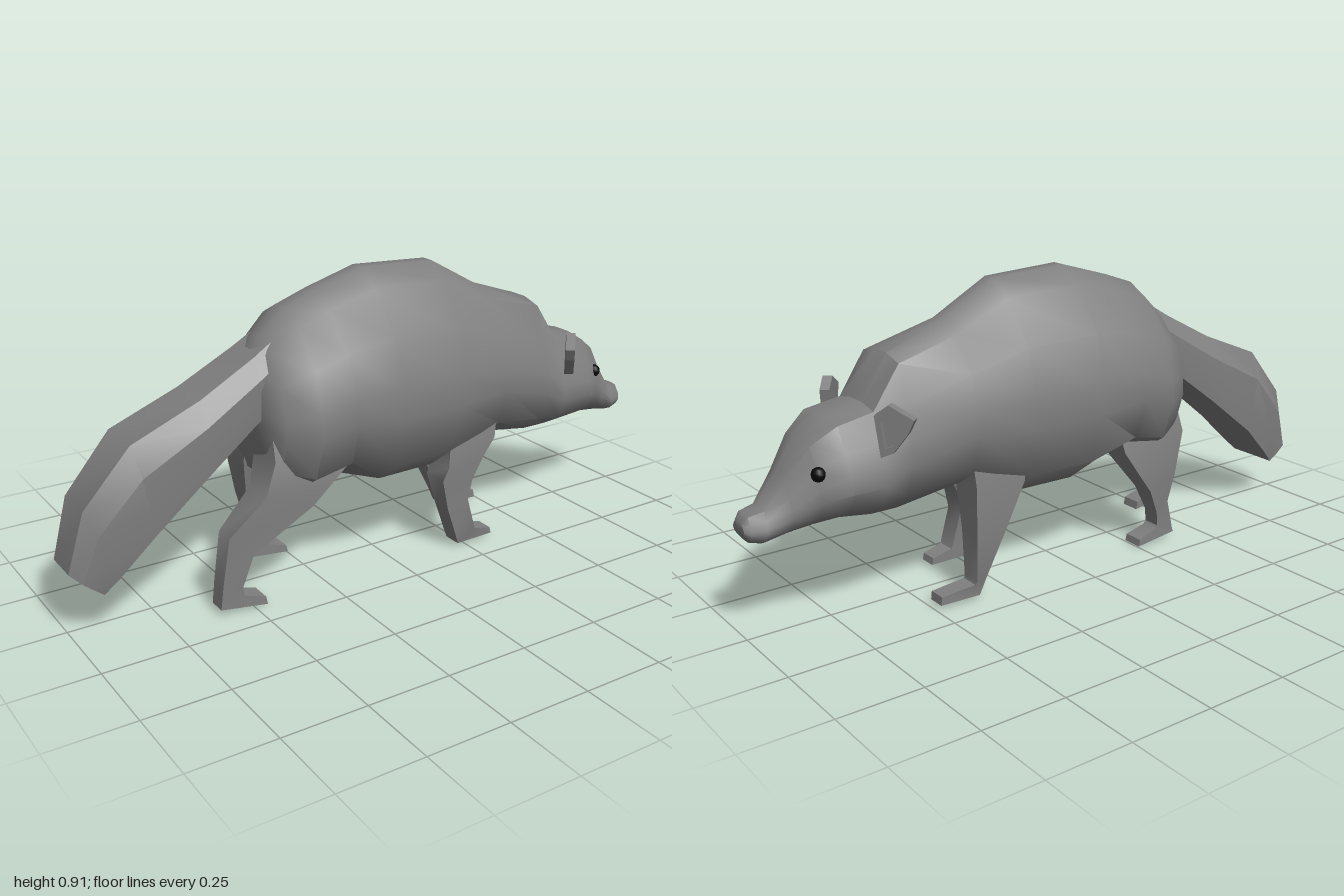
import * as THREE from 'three';
import { toCreasedNormals } from 'three/addons/utils/BufferGeometryUtils.js';

const fur = new THREE.MeshStandardMaterial({ color: 0x808080 });
const black = new THREE.MeshStandardMaterial({ color: 0x050505 });

// Skin a closed surface over a list of rings of [x, y, z] points
function loft(rings, crease) {
  const n = rings[0].length, pos = [];
  const tri = (a, b, c) => pos.push(...a, ...b, ...c);
  const centre = r => [0, 1, 2].map(k => r.reduce((s, p) => s + p[k], 0) / n);
  const first = rings[0], last = rings[rings.length - 1];
  const c0 = centre(first), c1 = centre(last);
  for (let j = 0; j < n; j++) {
    const k = (j + 1) % n;
    for (let i = 0; i < rings.length - 1; i++) {
      const r = rings[i], s = rings[i + 1];
      tri(r[j], r[k], s[k]);
      tri(r[j], s[k], s[j]);
    }
    tri(c0, first[k], first[j]);
    tri(c1, last[j], last[k]);
  }
  const g = new THREE.BufferGeometry();
  g.setAttribute('position', new THREE.Float32BufferAttribute(pos, 3));
  return toCreasedNormals(g, crease);
}

// Symmetric ring between a bottom and a top point; half = [width, height] fractions
function ring([xb, yb, xt, yt, w], half) {
  const point = ([f, h], s) => [xb + (xt - xb) * h, yb + (yt - yb) * h, s * f * w];
  return [...half.map(p => point(p, 1)), ...[...half].reverse().map(p => point(p, -1))];
}

function add(parent, name, geometry, material = fur) {
  const m = new THREE.Mesh(geometry, material);
  m.name = name;
  parent.add(m);
  return m;
}

// Leg: rectangular sections [back x, back y, front x, front y, inner z, outer z]
function addLeg(parent, name, side, sections) {
  const rings = sections.map(([ax, ay, bx, by, zi, zo]) => {
    const lo = Math.min(zi * side, zo * side), hi = Math.max(zi * side, zo * side);
    return [[bx, by, lo], [bx, by, hi], [ax, ay, hi], [ax, ay, lo]];
  });
  add(parent, name, loft(rings, 0.75));
}

// Ear: flat plate with a raised rim, turned outward
function addEar(parent, side) {
  const outline = [[-0.035, -0.07], [0.0, -0.055], [0.042, 0.0], [0.06, 0.038], [-0.008, 0.075], [-0.05, 0.045]];
  const pts = k => outline.map(([u, v]) => new THREE.Vector2(-side * u * k, v * k));
  const ear = new THREE.Group();
  ear.name = side > 0 ? 'leftEar' : 'rightEar';
  add(ear, 'earBack', new THREE.ExtrudeGeometry(new THREE.Shape(pts(1)), { depth: 0.012, bevelEnabled: false }));
  const rim = new THREE.Shape(pts(1));
  rim.holes.push(new THREE.Path(pts(0.65)));
  add(ear, 'earRim', new THREE.ExtrudeGeometry(rim, { depth: 0.018, bevelEnabled: false })).position.z = 0.01;
  ear.position.set(0.618, 0.562, side * 0.172);
  ear.rotation.y = Math.PI / 2 - side * 0.72;
  parent.add(ear);
}

export function createModel() {
  const model = new THREE.Group();
  model.name = 'animal';

  // Body, neck and head: [bottom x, bottom y, top x, top y, half width]
  const trunkHalf = [[0.1, 1], [0.42, 0.925], [0.83, 0.72], [0.98, 0.5], [1, 0.36], [0.82, 0.12], [0.38, 0]];
  const headHalf = [[0.2, 1], [0.6, 0.96], [0.83, 0.7], [0.97, 0.5], [1, 0.34], [0.78, 0.12], [0.35, 0]];
  const trunk = [
    [-0.43, 0.42, -0.43, 0.70, 0.125],
    [-0.40, 0.34, -0.39, 0.75, 0.185],
    [-0.31, 0.30, -0.31, 0.825, 0.235],
    [-0.19, 0.325, -0.21, 0.86, 0.242],
    [-0.03, 0.265, -0.05, 0.907, 0.23],
    [0.17, 0.265, 0.20, 0.895, 0.213],
    [0.37, 0.33, 0.37, 0.80, 0.195],
  ];
  const head = [
    [0.56, 0.295, 0.56, 0.735, 0.16],
    [0.64, 0.295, 0.64, 0.61, 0.158],
    [0.74, 0.31, 0.75, 0.59, 0.163],
    [0.81, 0.302, 0.82, 0.54, 0.12],
    [0.88, 0.29, 0.88, 0.45, 0.085],
    [0.95, 0.275, 0.94, 0.372, 0.06],
    [0.985, 0.285, 0.985, 0.362, 0.05],
    [1.0, 0.305, 1.0, 0.342, 0.035],
  ];
  add(model, 'bodyAndHead', loft([
    ...trunk.map(s => ring(s, trunkHalf)), ...head.map(s => ring(s, headHalf)),
  ], 0.75));

  // Tail, from the tip to the rump
  const tailHalf = [[0.62, 1], [1, 0.68], [1, 0.3], [0.95, 0]];
  add(model, 'tail', loft([
    [-0.915, 0.13, -1.0, 0.20, 0.09],
    [-0.87, 0.175, -0.95, 0.375, 0.105],
    [-0.77, 0.275, -0.81, 0.535, 0.12],
    [-0.60, 0.41, -0.60, 0.62, 0.115],
    [-0.44, 0.53, -0.43, 0.71, 0.105],
    [-0.32, 0.60, -0.30, 0.79, 0.09],
  ].map(s => ring(s, tailHalf)), 0.5));

  // Legs, each in its own step of the walk, with the thighs sunk into the body
  addLeg(model, 'leftFrontLeg', 1, [
    [0.19, 0.46, 0.37, 0.46, 0.05, 0.15],
    [0.175, 0.34, 0.345, 0.345, 0.06, 0.17],
    [0.17, 0.28, 0.30, 0.29, 0.075, 0.172],
    [0.15, 0.24, 0.262, 0.22, 0.085, 0.17],
    [0.173, 0.14, 0.25, 0.155, 0.10, 0.167],
    [0.205, 0.05, 0.28, 0.055, 0.10, 0.165],
    [0.22, 0.01, 0.285, 0.045, 0.10, 0.16],
    [0.355, 0.01, 0.35, 0.03, 0.10, 0.155],
  ]);
  addLeg(model, 'rightFrontLeg', -1, [
    [0.19, 0.46, 0.37, 0.46, 0.05, 0.15],
    [0.20, 0.33, 0.366, 0.34, 0.06, 0.17],
    [0.265, 0.20, 0.367, 0.20, 0.09, 0.17],
    [0.335, 0.06, 0.367, 0.055, 0.10, 0.165],
    [0.355, 0.01, 0.37, 0.045, 0.10, 0.16],
    [0.483, 0.01, 0.48, 0.035, 0.10, 0.155],
  ]);
  addLeg(model, 'leftHindLeg', 1, [
    [-0.41, 0.56, -0.18, 0.50, 0.03, 0.11],
    [-0.425, 0.43, -0.18, 0.38, 0.04, 0.165],
    [-0.46, 0.335, -0.31, 0.275, 0.07, 0.172],
    [-0.573, 0.235, -0.50, 0.165, 0.095, 0.16],
    [-0.597, 0.09, -0.535, 0.075, 0.10, 0.157],
    [-0.605, 0.02, -0.53, 0.045, 0.10, 0.155],
    [-0.46, 0.0, -0.465, 0.025, 0.095, 0.16],
  ]);
  addLeg(model, 'rightHindLeg', -1, [
    [-0.40, 0.52, -0.16, 0.48, 0.03, 0.12],
    [-0.415, 0.36, -0.18, 0.33, 0.05, 0.168],
    [-0.39, 0.22, -0.29, 0.18, 0.09, 0.165],
    [-0.37, 0.13, -0.325, 0.10, 0.10, 0.157],
    [-0.395, 0.03, -0.33, 0.055, 0.10, 0.155],
    [-0.40, 0.018, -0.32, 0.045, 0.10, 0.155],
    [-0.25, 0.004, -0.255, 0.025, 0.095, 0.16],
  ]);

  // Ears and eyes
  for (const side of [1, -1]) {
    addEar(model, side);
    const eye = add(model, side > 0 ? 'leftEye' : 'rightEye', new THREE.SphereGeometry(0.021, 10, 8), black);
    eye.position.set(0.812, 0.46, side * 0.1);
  }
  return model;
}
